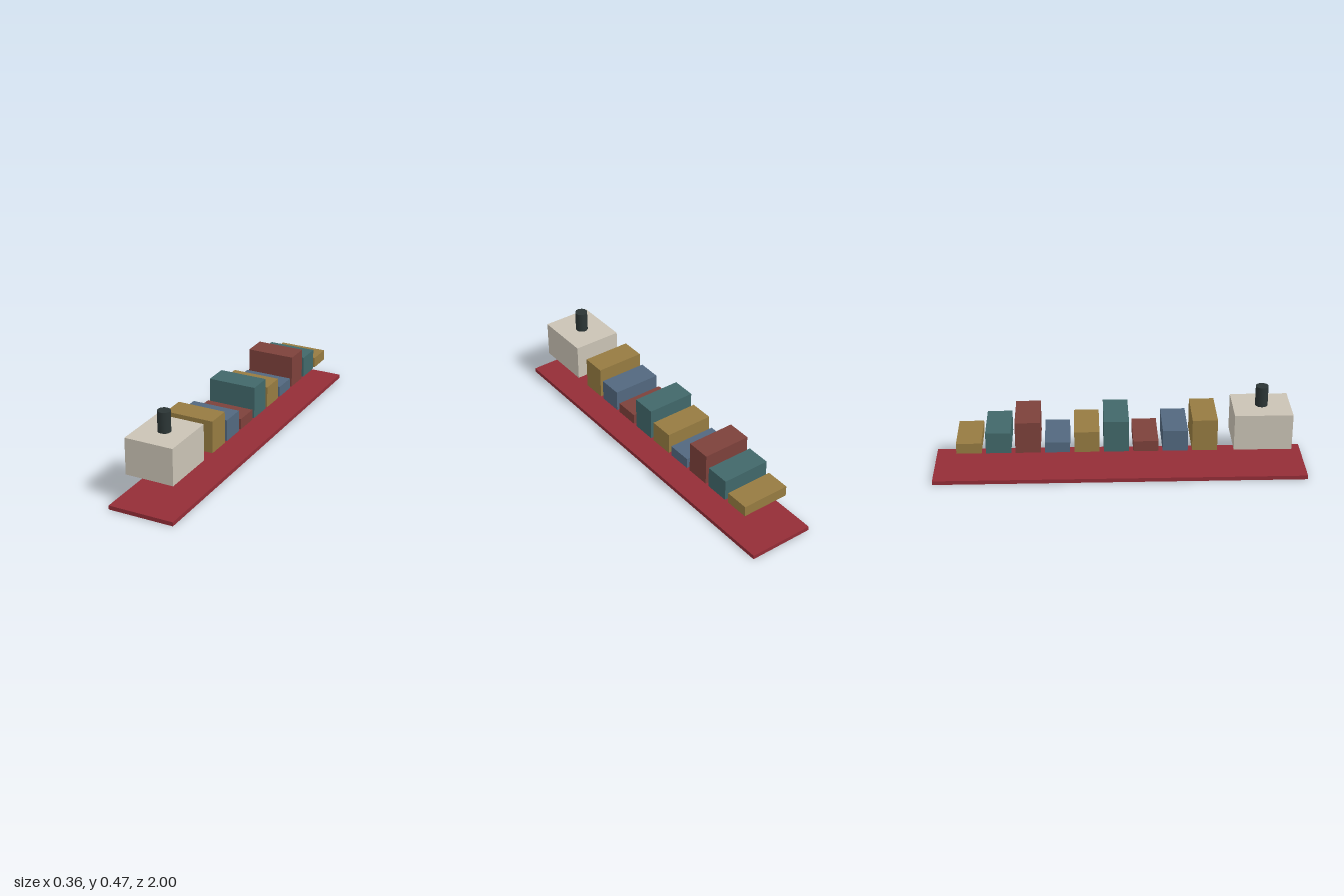
import * as THREE from 'three';

const paint = (name, color) => {
  const m = new THREE.MeshStandardMaterial({ color });
  m.name = name;
  return m;
};

export function createModel() {
  const model = new THREE.Group();
  model.name = 'cargoBarge';

  const hullRed = paint('hull red', 0x942d37);
  const cream = paint('cream', 0xcac3b5);
  const charcoal = paint('charcoal', 0x2b3535);
  const ochre = paint('ochre', 0x967b41);
  const blue = paint('slate blue', 0x52687f);
  const rust = paint('rust red', 0x7d413b);
  const teal = paint('teal', 0x41686a);

  const add = (name, geometry, material, y, z) => {
    const mesh = new THREE.Mesh(geometry, material);
    mesh.name = name;
    mesh.position.set(0, y, z);
    model.add(mesh);
  };

  // Flat base slab
  add('hullSlab', new THREE.BoxGeometry(0.36, 0.022, 2), hullRed, 0.011, 0);

  // Cabin block with its funnel, floating above the slab at the front
  const floor = 0.161;
  add('cabin', new THREE.BoxGeometry(0.266, 0.199, 0.308), cream, floor + 0.0995, 0.755);
  add('funnel', new THREE.CylinderGeometry(0.034, 0.034, 0.111, 16), charcoal, 0.4155, 0.755);

  // Row of container stacks, front to back, one to three layers high
  const colors = [ochre, blue, rust, teal];
  const layers = [3, 2, 1];
  for (let i = 0; i < 9; i++) {
    const h = 0.0583 * layers[i % 3];
    add(`containerStack${i + 1}`, new THREE.BoxGeometry(0.266, h, 0.133),
      colors[i % 4], floor + h / 2, 0.446 - i * 0.1557);
  }

  return model;
}
